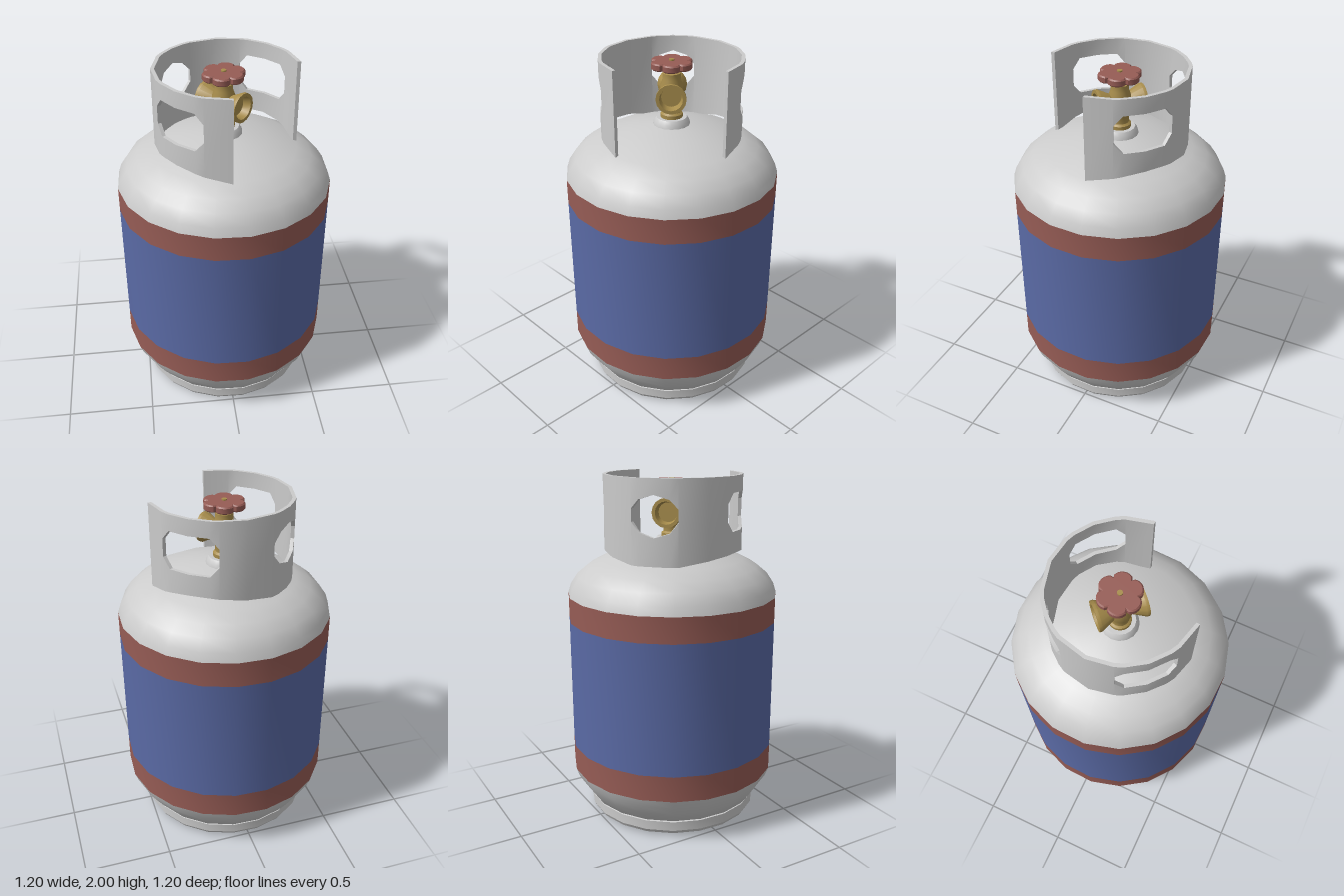
import * as THREE from 'three';
import { mergeGeometries, toCreasedNormals } from 'three/addons/utils/BufferGeometryUtils.js';

const material = (color) => new THREE.MeshStandardMaterial({ color });
const GREY = material(0xcccccc);
const RED = material(0x965c55);
const BLUE = material(0x5a6aa5);
const BRASS = material(0xa88d4c);
const DEG = Math.PI / 180;

function addMesh(parent, name, geometry, mat) {
  const mesh = new THREE.Mesh(geometry, mat);
  mesh.name = name;
  parent.add(mesh);
  return mesh;
}

// Turned part from [radius, height] pairs, listed from bottom to top
function turned(profile, sides, crease = 0.6, start = 0) {
  const points = profile.map(([r, y]) => new THREE.Vector2(r, y));
  return toCreasedNormals(new THREE.LatheGeometry(points, sides, start), crease);
}

// Collar plan: radius grows a little toward both free ends
const collarRadius = (offset) => 0.379 + 0.033 * (offset / 135) ** 2;

// One curved block of the collar between stations [offset, bottom, top]
function collarBlock([a0, low0, high0], [a1, low1, high1]) {
  const box = new THREE.BoxGeometry(1, 1, 1);
  const p = box.attributes.position;
  for (let i = 0; i < p.count; i++) {
    const end = p.getX(i) > 0;
    const up = p.getY(i) > 0;
    const offset = end ? a1 : a0;
    const r = collarRadius(offset) - (p.getZ(i) > 0 ? 0 : 0.02);
    const angle = (225 + offset) * DEG;
    const y = up ? (end ? high1 : high0) : (end ? low1 : low0);
    p.setXYZ(i, r * Math.sin(angle), y, r * Math.cos(angle));
  }
  return box;
}

function collarGeometry() {
  // [angle from the middle, lower edge, window bottom, window top]
  const half = [
    [0, 1.53, 1.69, 1.915], [13, 1.53, 1.715, 1.89], [20, 1.535, 1.77, 1.84],
    [45, 1.56], [66, 1.575, 1.755, 1.855], [73, 1.58, 1.7, 1.91],
    [90, 1.58, 1.7, 1.91], [107, 1.565, 1.7, 1.91], [114, 1.555, 1.755, 1.855],
    [135, 1.525],
  ];
  const mirrored = half.slice(1).reverse().map(([a, ...rest]) => [-a, ...rest]);
  const stations = [...mirrored, ...half];
  const blocks = [];
  for (let i = 0; i + 1 < stations.length; i++) {
    const [a0, b0, lo0, hi0] = stations[i];
    const [a1, b1, lo1, hi1] = stations[i + 1];
    const gap = Math.min(Math.abs(a0), Math.abs(a1));
    const solid = lo0 === undefined || lo1 === undefined || gap >= 114;
    if (solid) {
      blocks.push(collarBlock([a0, b0, 2], [a1, b1, 2]));
    } else {
      blocks.push(collarBlock([a0, b0, lo0], [a1, b1, lo1]));
      blocks.push(collarBlock([a0, hi0, 2], [a1, hi1, 2]));
    }
  }
  return toCreasedNormals(mergeGeometries(blocks), 0.6);
}

// Six-lobed hand wheel lying flat
function handWheelGeometry() {
  const shape = new THREE.Shape();
  for (let i = 0; i < 48; i++) {
    const a = (i / 48) * Math.PI * 2;
    const r = 0.082 + 0.03 * Math.sqrt(Math.abs(Math.cos(3 * a)));
    const x = r * Math.cos(a + 15 * DEG);
    const y = r * Math.sin(a + 15 * DEG);
    if (i) shape.lineTo(x, y);
    else shape.moveTo(x, y);
  }
  shape.closePath();
  const wheel = new THREE.ExtrudeGeometry(shape, {
    depth: 0.026, bevelEnabled: true, bevelSize: 0.007, bevelThickness: 0.007, bevelSegments: 1,
  });
  wheel.rotateX(-Math.PI / 2);
  return toCreasedNormals(wheel, 0.5);
}

export function createModel() {
  const model = new THREE.Group();
  model.name = 'gasCylinder';

  // Tank shell and painted bands
  const tank = new THREE.Group();
  tank.name = 'tank';
  model.add(tank);
  const start = 6.75 * DEG;
  const R = 0.606;
  const shell = (name, profile, mat, crease) =>
    addMesh(tank, name, turned(profile, 20, crease, start), mat);
  shell('footRing', [[0, 0], [0.27, 0.008], [0.27, 0.014], [0.49, 0.014], [0.502, 0.035],
    [0.502, 0.09], [0.48, 0.095]], GREY, 0.5);
  shell('lowerShoulder', [[0.48, 0.09], [0.505, 0.1], [0.55, 0.165], [0.588, 0.225], [R, 0.275]], GREY, 0.9);
  shell('lowerBand', [[R, 0.275], [R, 0.425]], RED);
  shell('middleBand', [[R, 0.425], [R, 1.18]], BLUE);
  shell('upperBand', [[R, 1.18], [R, 1.325]], RED);
  shell('upperShoulder', [[R, 1.325], [0.59, 1.375], [0.55, 1.435], [0.49, 1.485],
    [0.41, 1.527], [0.24, 1.58], [0.1, 1.61], [0, 1.615]], GREY, 0.9);

  // Guard collar, open toward the front
  addMesh(model, 'collar', collarGeometry(), GREY);

  // Valve
  const valve = new THREE.Group();
  valve.name = 'valve';
  model.add(valve);
  addMesh(valve, 'neck', turned([[0.105, 1.6], [0.1, 1.63], [0.085, 1.65], [0, 1.65]], 16), GREY);
  addMesh(valve, 'valveBody', turned([[0.062, 1.645], [0.062, 1.67], [0.05, 1.68], [0.05, 1.72],
    [0.063, 1.75], [0.063, 1.83], [0.05, 1.865], [0.05, 1.9], [0.03, 1.905], [0.03, 1.93], [0, 1.93]], 16), BRASS);

  // Flared outlets on opposite sides
  const outlet = turned([[0.03, 0.015], [0.083, 0.118], [0.083, 0.134], [0.064, 0.134],
    [0.055, 0.09], [0, 0.09]], 16);
  outlet.rotateX(Math.PI / 2);
  for (const [name, angle] of [['frontOutlet', 45], ['backOutlet', 225]]) {
    const mesh = addMesh(valve, name, outlet, BRASS);
    mesh.position.y = 1.793;
    mesh.rotation.y = angle * DEG;
  }

  // Hand wheel and its stem
  const wheel = addMesh(valve, 'handWheel', handWheelGeometry(), RED);
  wheel.position.y = 1.935;
  const stem = addMesh(valve, 'stem', new THREE.CylinderGeometry(0.015, 0.015, 0.06, 10), BRASS);
  stem.position.y = 1.945;

  return model;
}
